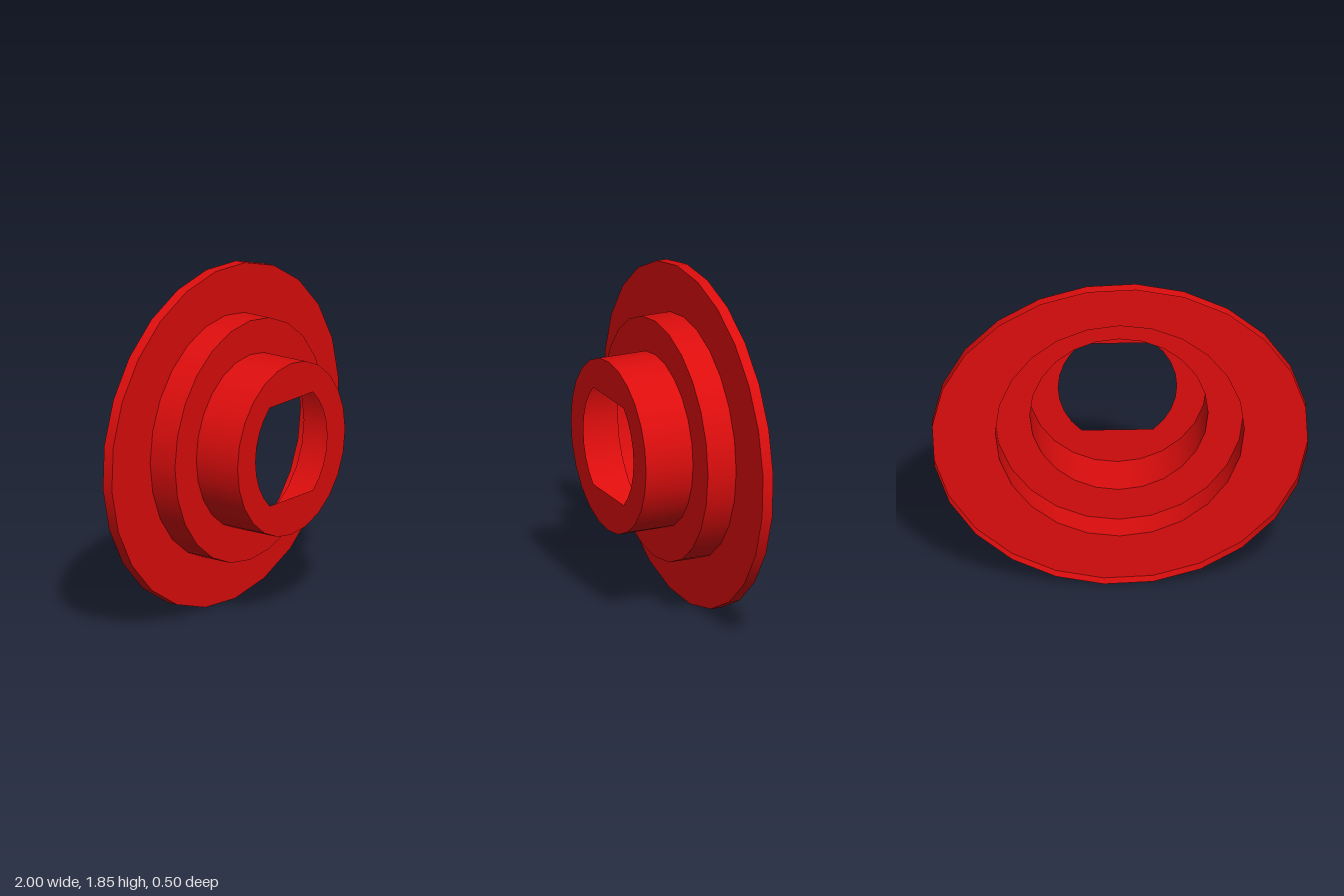
import * as THREE from 'three';

const SIDES = 24;
const CENTER_Y = 0.926;

// Closed outline of a 24-sided ring, optionally turned and stretched to an oval
function ring(rx, ry = rx, turn = 0) {
  return Array.from({ length: SIDES }, (_, i) => {
    const a = turn + (i / SIDES) * Math.PI * 2;
    return new THREE.Vector2(rx * Math.cos(a), ry * Math.sin(a));
  });
}

// Round opening with flat top and bottom
function flattedHole() {
  const r = 0.358, shift = 0.043, half = 0.863, steps = 8, pts = [];
  for (const side of [1, -1]) {
    for (let i = 0; i <= steps; i++) {
      const a = -half + (2 * half * i) / steps;
      pts.push(new THREE.Vector2(side * (r * Math.cos(a) - shift), side * r * Math.sin(a)));
    }
  }
  return pts;
}

export function createModel() {
  const group = new THREE.Group();
  group.name = 'steppedFlange';
  const material = new THREE.MeshStandardMaterial({ color: 0xdd0d0d, side: THREE.DoubleSide });

  const add = (name, geometry) => {
    const mesh = new THREE.Mesh(geometry, material);
    mesh.name = name;
    mesh.position.y = CENTER_Y;
    group.add(mesh);
  };

  // Thin flat face at depth z between an outline and its opening
  const face = (name, outline, opening, z) => {
    const shape = new THREE.Shape(outline);
    shape.holes.push(new THREE.Path(opening));
    add(name, new THREE.ShapeGeometry(shape).translate(0, 0, z));
  };

  // Thin open wall from z0 to z1
  const wall = (name, rx, ry, turn, z0, z1) => {
    const g = new THREE.CylinderGeometry(1, 1, z1 - z0, SIDES, 1, true);
    g.rotateX(Math.PI / 2).rotateZ(turn).scale(rx, ry, 1).translate(0, 0, (z0 + z1) / 2);
    add(name, g);
  };

  const turn = 0.085;
  const back = -0.25, flangeZ = -0.19, stepZ = -0.025, front = 0.25;

  // Oval flange, open at the back
  wall('flangeRim', 1.003, 0.928, turn, back, flangeZ);
  face('flangeFace', ring(1.003, 0.928, turn), ring(0.662), flangeZ);

  // Middle step
  wall('stepWall', 0.662, 0.662, 0, flangeZ, stepZ);
  face('stepFace', ring(0.662), ring(0.474), stepZ);

  // Front hub with the flatted opening
  wall('hubWall', 0.474, 0.474, 0, stepZ, front);
  face('hubFace', ring(0.474), flattedHole(), front);

  return group;
}
